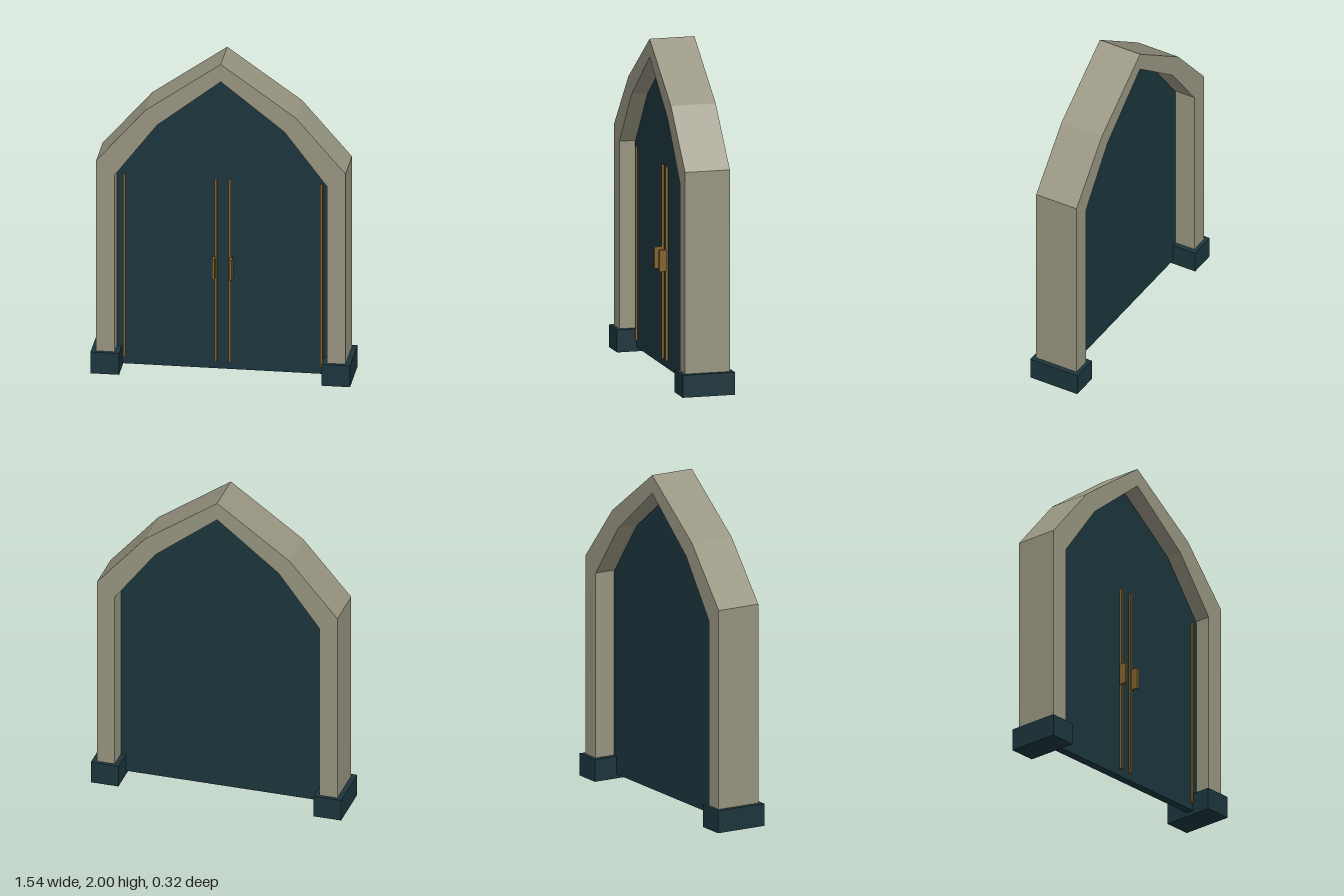
import * as THREE from 'three';

const mat = (color) => new THREE.MeshStandardMaterial({ color, flatShading: true });

// Symmetric outline from the right-hand points, listed bottom to peak
function outline(right) {
  const left = right.filter(([x]) => x > 0).reverse().map(([x, y]) => [-x, y]);
  return [...right, ...left].map(([x, y]) => new THREE.Vector2(x, y));
}

function slab(shape, z0, z1, material, name) {
  const geo = new THREE.ExtrudeGeometry(shape, { depth: z1 - z0, bevelEnabled: false });
  geo.translate(0, 0, z0);
  const mesh = new THREE.Mesh(geo, material);
  mesh.name = name;
  return mesh;
}

function box(w, h, d, x, y, z, material, name) {
  const mesh = new THREE.Mesh(new THREE.BoxGeometry(w, h, d), material);
  mesh.position.set(x, y, z);
  mesh.name = name;
  return mesh;
}

export function createModel() {
  const group = new THREE.Group();
  group.name = 'archedDoor';
  const stone = mat(0x979480);
  const teal = mat(0x1b353c);
  const bronze = mat(0x80602f);

  // Pointed stone arch, open at the bottom
  const outer = outline([[0.74, 0.005], [0.74, 1.345], [0.445, 1.685], [0, 2]]);
  const inner = outline([[0.63, 0.005], [0.63, 1.26], [0.378, 1.592], [0, 1.89]]);
  group.add(slab(new THREE.Shape([...outer, ...inner.reverse()]), -0.137, 0.137, stone, 'archFrame'));

  // Door panel set back inside the arch
  const panel = outline([[0.63, 0.025], [0.63, 1.252], [0.378, 1.588], [0, 1.87]]);
  group.add(slab(new THREE.Shape(panel), -0.01, 0.04, teal, 'doorPanel'));

  for (const s of [1, -1]) {
    const side = s > 0 ? 'left' : 'right';
    // Block at the foot of each post
    group.add(box(0.17, 0.135, 0.32, s * 0.685, 0.0675, 0, teal, side + 'Plinth'));
    // Upright trim strips and pull handle
    group.add(box(0.014, 1.165, 0.02, s * 0.585, 0.6525, 0.043, bronze, side + 'OuterTrim'));
    group.add(box(0.014, 1.165, 0.02, s * 0.041, 0.6525, 0.043, bronze, side + 'InnerTrim'));
    group.add(box(0.016, 0.13, 0.045, s * 0.051, 0.675, 0.0725, bronze, side + 'Handle'));
  }
  return group;
}
